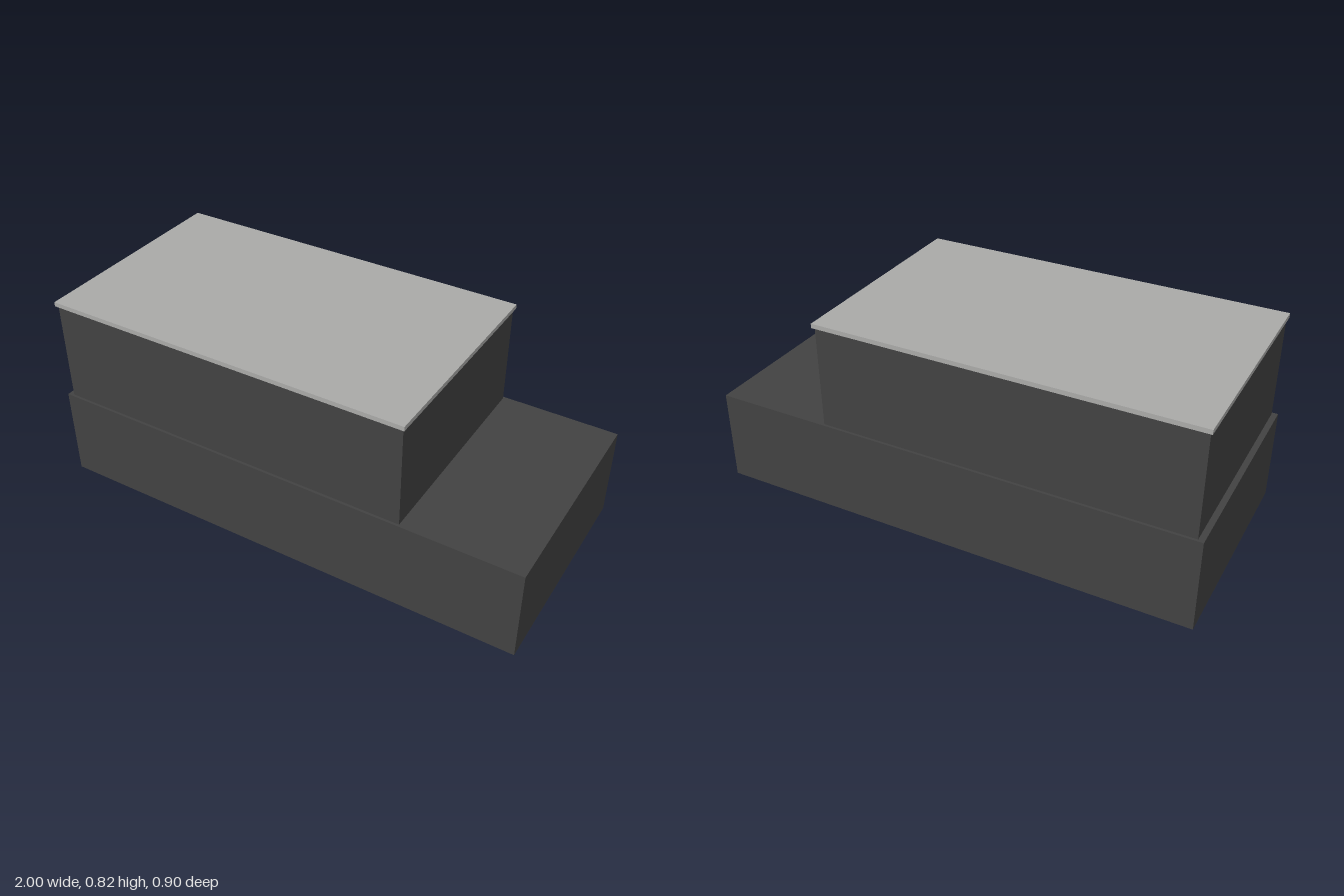
import * as THREE from 'three';

export function createModel() {
  const model = new THREE.Group();
  model.name = 'steppedBlock';

  const darkGrey = new THREE.MeshStandardMaterial({ color: 0x424242 });
  darkGrey.name = 'dark grey';
  const lightGrey = new THREE.MeshStandardMaterial({ color: 0xaaaaa8 });
  lightGrey.name = 'light grey';

  // Adds a box from its x and y limits, centred on z
  function addBlock(name, material, x0, x1, y0, y1, depth) {
    const mesh = new THREE.Mesh(new THREE.BoxGeometry(x1 - x0, y1 - y0, depth), material);
    mesh.name = name;
    mesh.position.set((x0 + x1) / 2, (y0 + y1) / 2, 0);
    model.add(mesh);
  }

  // Wide lower storey
  addBlock('base', darkGrey, -1, 1, 0, 0.38, 0.9);
  // Shorter upper storey, set back from the base edges
  addBlock('upperStorey', darkGrey, -0.977, 0.523, 0.38, 0.798, 0.88);
  // Thin roof slab with a slight overhang
  addBlock('roof', lightGrey, -0.985, 0.531, 0.798, 0.816, 0.9);

  return model;
}
